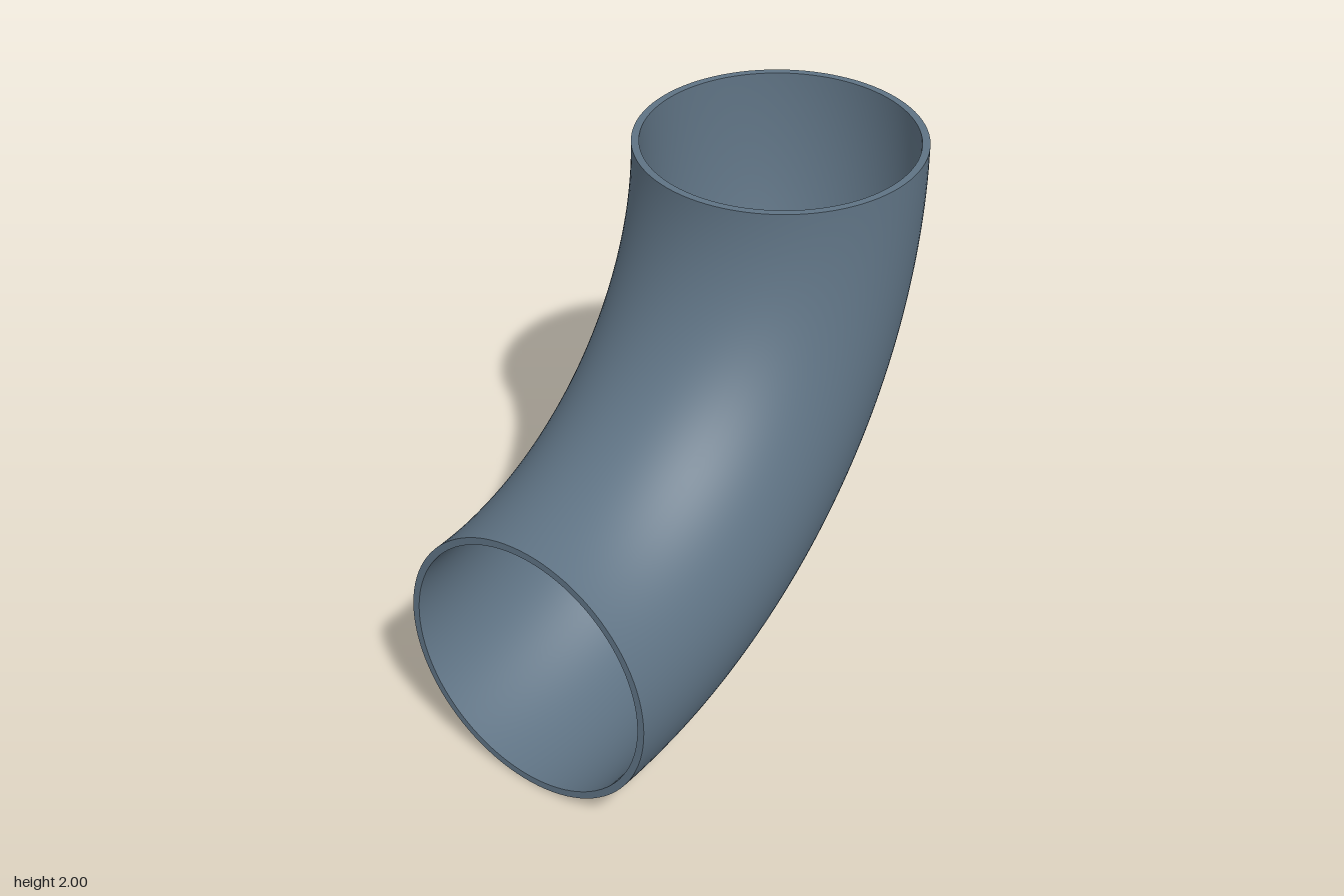
import * as THREE from 'three';

const BEND = 1.47;   // radius of the bend's centre line
const OUTER = 0.53;  // pipe radius
const BORE = 0.502;  // radius of the hollow
const SIDES = 96;
const STEPS = 64;

// Quarter bend around (-1, 2), from the left opening up to the top opening
function bend(radius) {
  return new THREE.TorusGeometry(BEND, radius, SIDES, STEPS, Math.PI / 2)
    .rotateZ(-Math.PI / 2)
    .translate(-1, 2, 0);
}

// Turn a surface inside out so that it shows from within
function insideOut(geometry) {
  geometry.index.array.reverse();
  const normal = geometry.attributes.normal;
  for (let i = 0; i < normal.array.length; i++) normal.array[i] *= -1;
  return geometry;
}

export function createModel() {
  const group = new THREE.Group();
  group.name = 'pipeElbow';
  const material = new THREE.MeshStandardMaterial({ color: 0x5f7384 });

  const add = (name, geometry) => {
    const mesh = new THREE.Mesh(geometry, material);
    mesh.name = name;
    group.add(mesh);
  };

  // Pipe wall
  add('outerWall', bend(OUTER));
  add('innerWall', insideOut(bend(BORE)));

  // Flat rims closing the wall at both openings
  const rim = () => new THREE.RingGeometry(BORE, OUTER, SIDES);
  add('topRim', rim().rotateX(-Math.PI / 2).translate(BEND - 1, 2, 0));
  add('sideRim', rim().rotateY(-Math.PI / 2).translate(-1, 2 - BEND, 0));

  return group;
}
